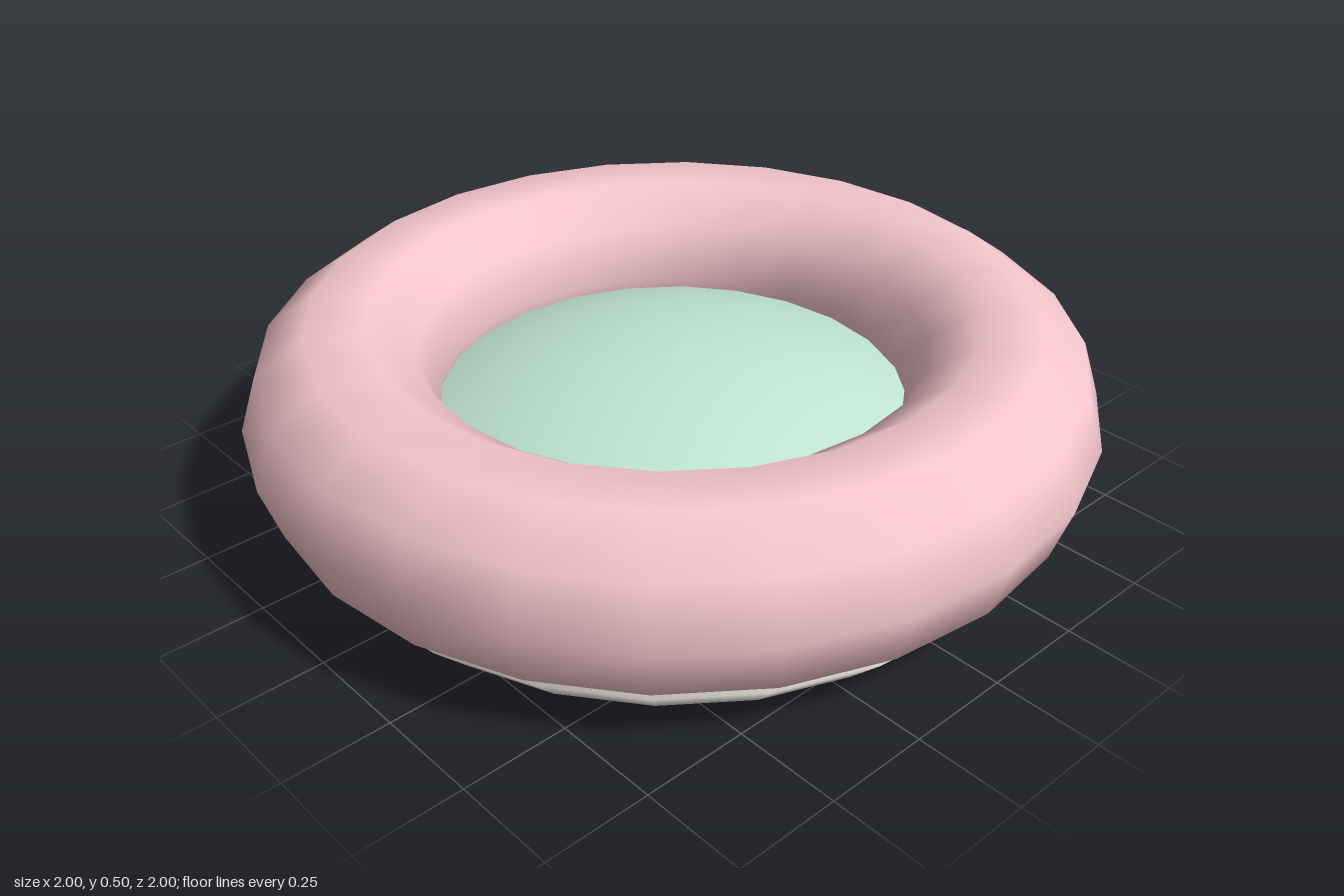
import * as THREE from 'three';

const SIDES = 24;

function part(name, geometry, color) {
  const mesh = new THREE.Mesh(geometry, new THREE.MeshStandardMaterial({ color }));
  mesh.name = name;
  return mesh;
}

// Smooth surface of revolution from [radius, height] pairs, listed bottom to top
function turned(profile) {
  return new THREE.LatheGeometry(profile.map(([r, y]) => new THREE.Vector2(r, y)), SIDES);
}

export function createModel() {
  const group = new THREE.Group();
  group.name = 'ringedDish';

  // Flat-bottomed base with a flared rim, tucked under the ring
  group.add(part('base', turned([[0, 0], [0.81, 0], [0.905, 0.1], [0.81, 0.2], [0, 0.2]]), 0xf0ece4));

  // Thick rounded ring
  const ring = part('ring', new THREE.TorusGeometry(0.775, 0.225, 10, SIDES).rotateX(Math.PI / 2), 0xf5c6cc);
  ring.position.y = 0.29;
  group.add(ring);

  // Shallow dome filling the opening of the ring
  const rim = 0.59, rise = 0.14, rimY = 0.25;
  const radius = (rim * rim + rise * rise) / (2 * rise);
  const dome = [];
  for (let i = 0; i <= 6; i++) {
    const a = Math.asin(rim / radius) * (1 - i / 6);
    dome.push([radius * Math.sin(a), rimY + rise - radius * (1 - Math.cos(a))]);
  }
  group.add(part('dome', turned(dome), 0xbfe3d3));

  return group;
}
